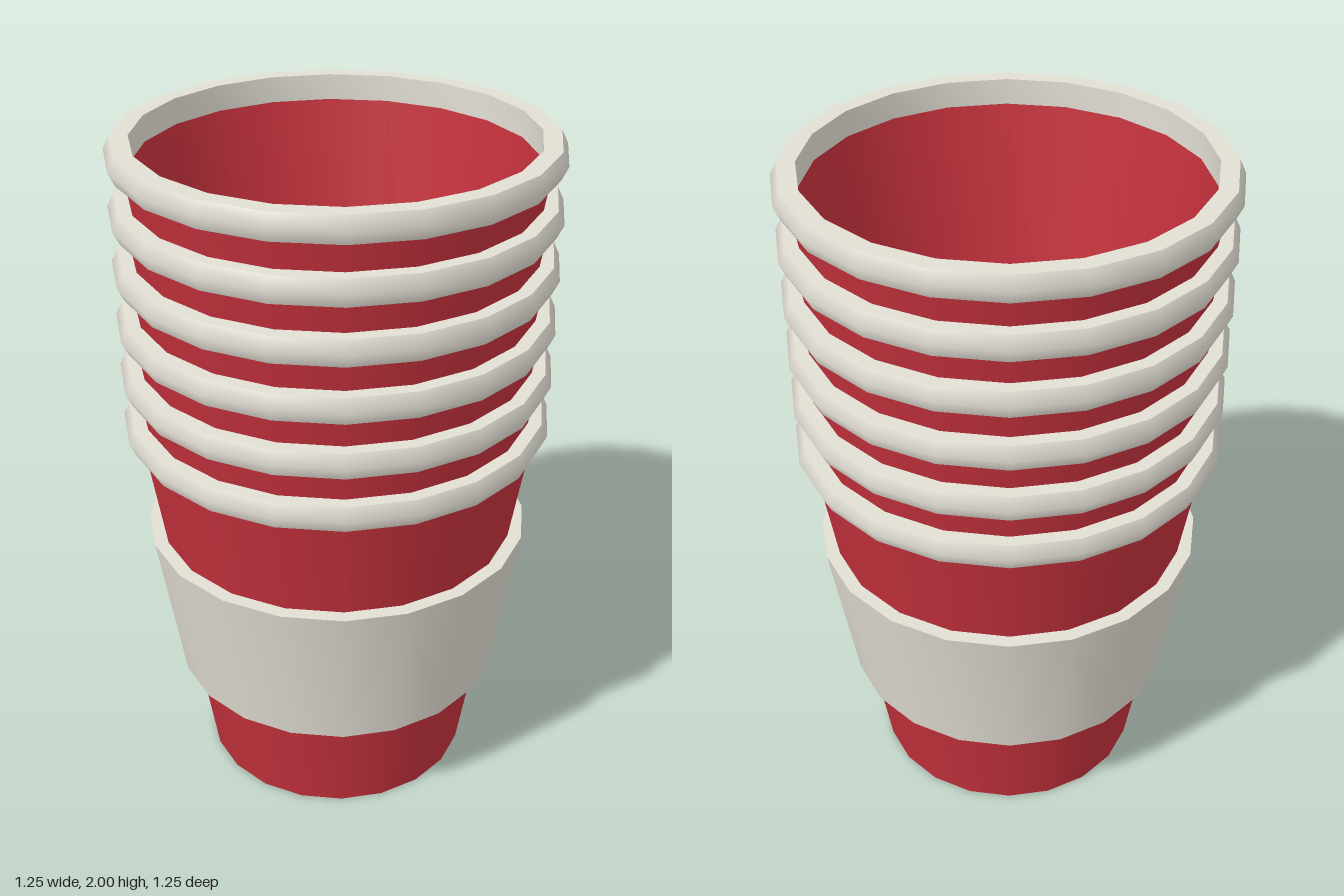
import * as THREE from 'three';
import { toCreasedNormals } from 'three/addons/utils/BufferGeometryUtils.js';

const SIDES = 20;
const CUPS = 6;
const STEP = 0.16; // height each nested cup is raised above the one below

const red = new THREE.MeshStandardMaterial({ color: 0xc4313c });
red.name = 'cup red';
const cream = new THREE.MeshStandardMaterial({ color: 0xe2ded4 });
cream.name = 'warm white';

// Revolve a profile of [radius, height] pairs, keeping sharp edges
function turned(name, profile, material) {
  const points = profile.map(([r, y]) => new THREE.Vector2(r, y));
  const geometry = toCreasedNormals(new THREE.LatheGeometry(points, SIDES), 1.0);
  const mesh = new THREE.Mesh(geometry, material);
  mesh.name = name;
  return mesh;
}

// Tapered cup with a raised inner floor and a rolled lip
function makeCup() {
  const cup = new THREE.Group();
  cup.add(turned('cupBody', [
    [0, 0], [0.405, 0], [0.58, 1.125], [0.555, 1.125], [0.433, 0.35], [0, 0.35],
  ], red));
  cup.add(turned('cupRim', [
    [0.555, 1.125], [0.606, 1.125], [0.624, 1.163], [0.606, 1.2], [0.555, 1.2], [0.555, 1.125],
  ], cream));
  return cup;
}

export function createModel() {
  const model = new THREE.Group();
  model.name = 'cupStack';

  // Nested cups
  for (let i = 0; i < CUPS; i++) {
    const cup = makeCup();
    cup.name = `cup${i + 1}`;
    cup.position.y = i * STEP;
    model.add(cup);
  }

  // Grip sleeve around the lowest cup
  model.add(turned('sleeve', [
    [0.45, 0.33], [0.496, 0.33], [0.572, 0.81], [0.525, 0.81], [0.45, 0.33],
  ], cream));

  return model;
}
